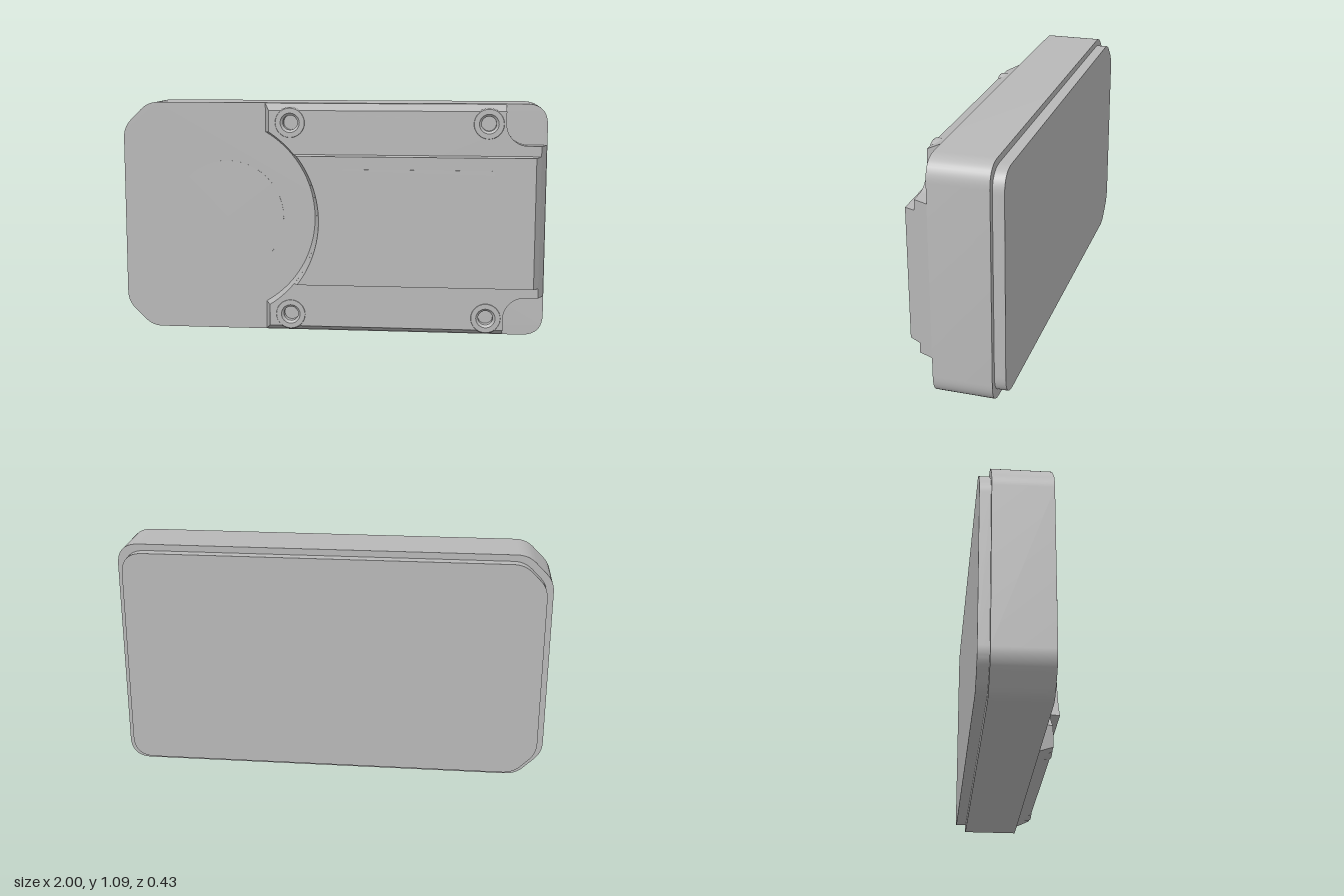
import * as THREE from 'three';
import { toCreasedNormals } from 'three/addons/utils/BufferGeometryUtils.js';

const H = 1.09, MID = H / 2, ARC_X = -0.551;
const BOSSES = [[-0.19, 1.0], [0.73, 1.0], [-0.19, 0.09], [0.73, 0.09]];
const V = (x, y) => new THREE.Vector2(x, y);

// Closed outline with rounded corners; each corner is [x, y, radius]
function roundedOutline(corners) {
  const shape = new THREE.Shape();
  corners.forEach(([x, y, r], i) => {
    const n = corners.length, p = V(x, y);
    const a = corners[(i + n - 1) % n], b = corners[(i + 1) % n];
    const s = V(a[0], a[1]).sub(p).setLength(r).add(p);
    const e = V(b[0], b[1]).sub(p).setLength(r).add(p);
    if (i === 0) shape.moveTo(s.x, s.y); else shape.lineTo(s.x, s.y);
    shape.quadraticCurveTo(x, y, e.x, e.y);
  });
  shape.closePath();
  return shape;
}

// Case outline: cut corners at -x, round corners at +x
function caseOutline(d) {
  const k = d * 0.55, r = 0.1;
  return roundedOutline([
    [-0.88 + k, d, 0.05], [1 - d, d, r], [1 - d, H - d, r],
    [-0.88 + k, H - d, 0.05], [-1 + d, 0.97 - k, 0.05], [-1 + d, 0.12 + k, 0.05],
  ]);
}

function slab(shape, z0, z1) {
  const g = new THREE.ExtrudeGeometry(shape, { depth: z1 - z0, bevelEnabled: false, curveSegments: 10 });
  g.translate(0, 0, z0);
  return toCreasedNormals(g, 0.5);
}

// Sloped walls between two matching outlines, closed on top, with optional holes
function loft(low, z0, high, z1, holes = []) {
  const pos = [], n = low.length;
  const put = (p, z) => pos.push(p.x, p.y, z);
  for (let i = 0; i < n; i++) {
    const j = (i + 1) % n;
    put(low[i], z0); put(low[j], z0); put(high[j], z1);
    put(low[i], z0); put(high[j], z1); put(high[i], z1);
  }
  const all = [...high, ...holes.flat()];
  for (const face of THREE.ShapeUtils.triangulateShape(high, holes)) {
    const [a, b, c] = face.map((i) => all[i]);
    const flip = (b.x - a.x) * (c.y - a.y) - (b.y - a.y) * (c.x - a.x) < 0;
    (flip ? [a, c, b] : [a, b, c]).forEach((p) => put(p, z1));
  }
  const g = new THREE.BufferGeometry();
  g.setAttribute('position', new THREE.Float32BufferAttribute(pos, 3));
  return toCreasedNormals(g, 0.5);
}

// Concave front edge, running down from angle a to -a
function concaveArc(radius, a, steps = 40) {
  return Array.from({ length: steps + 1 }, (_, i) => {
    const t = a - (2 * a * i) / steps;
    return V(ARC_X + radius * Math.cos(t), MID + radius * Math.sin(t));
  });
}

// Platform outline, with rounded notches at the two +x corners
function platformOutline(bevel, left, right, radius) {
  const lower = [V(left, bevel), V(0.81, bevel)];
  for (let i = 0; i <= 10; i++) {
    const t = Math.PI - (i / 10) * (Math.PI / 2);
    lower.push(V(0.91 + 0.1 * Math.cos(t), 0.09 + 0.1 * Math.sin(t)));
  }
  lower.push(V(right, 0.19));
  const upper = lower.map((p) => V(p.x, H - p.y)).reverse();
  return [...lower, ...upper, ...concaveArc(radius, Math.acos((left - ARC_X) / radius))];
}

// Central plateau outline
function plateauOutline(inset, right, radius) {
  const h = 0.3075 - inset;
  return [V(right, MID - h), V(right, MID + h), ...concaveArc(radius, Math.asin(h / radius))];
}

export function createModel() {
  const group = new THREE.Group();
  const grey = new THREE.MeshStandardMaterial({ color: 0xb8b8b8 });
  grey.name = 'casing grey';
  const add = (name, geometry) => {
    const mesh = new THREE.Mesh(geometry, grey);
    mesh.name = name;
    group.add(mesh);
    return mesh;
  };

  // Case and back lid
  add('caseBody', slab(caseOutline(0), -0.165, 0.1));
  add('backLid', slab(caseOutline(0.03), -0.215, -0.165));

  // Raised platform, open where the screw bosses sit
  const holes = BOSSES.map(([x, y]) =>
    Array.from({ length: 32 }, (_, i) => {
      const t = (-i / 32) * Math.PI * 2;
      return V(x + 0.055 * Math.cos(t), y + 0.055 * Math.sin(t));
    }));
  add('platform', loft(
    platformOutline(0.003, -0.315, 0.998, 0.471), 0.1,
    platformOutline(0.033, -0.29, 0.97, 0.487), 0.165, holes));
  add('plateau', loft(plateauOutline(0, 0.97, 0.487), 0.165, plateauOutline(0.004, 0.945, 0.5), 0.215));

  // Screw bosses with countersunk holes
  const profile = [[0.076, 0.1], [0.073, 0.16], [0.068, 0.167], [0.045, 0.167],
    [0.034, 0.155], [0.034, 0.12], [0, 0.12]].map(([r, z]) => V(r, z));
  const boss = toCreasedNormals(new THREE.LatheGeometry(profile, 32).rotateX(Math.PI / 2), 0.5);
  for (const [x, y] of BOSSES) add('screwBoss', boss).position.set(x, y, 0);

  // Shallow label panel and round pad
  add('labelPanel', slab(roundedOutline([
    [0.05, 0.3, 0.02], [0.76, 0.3, 0.02], [0.76, 0.79, 0.02], [0.05, 0.79, 0.02]]), 0.214, 0.217));
  const pad = new THREE.CylinderGeometry(0.27, 0.27, 0.003, 48).rotateX(Math.PI / 2);
  add('roundPad', pad).position.set(-0.5, MID, 0.1005);

  return group;
}
